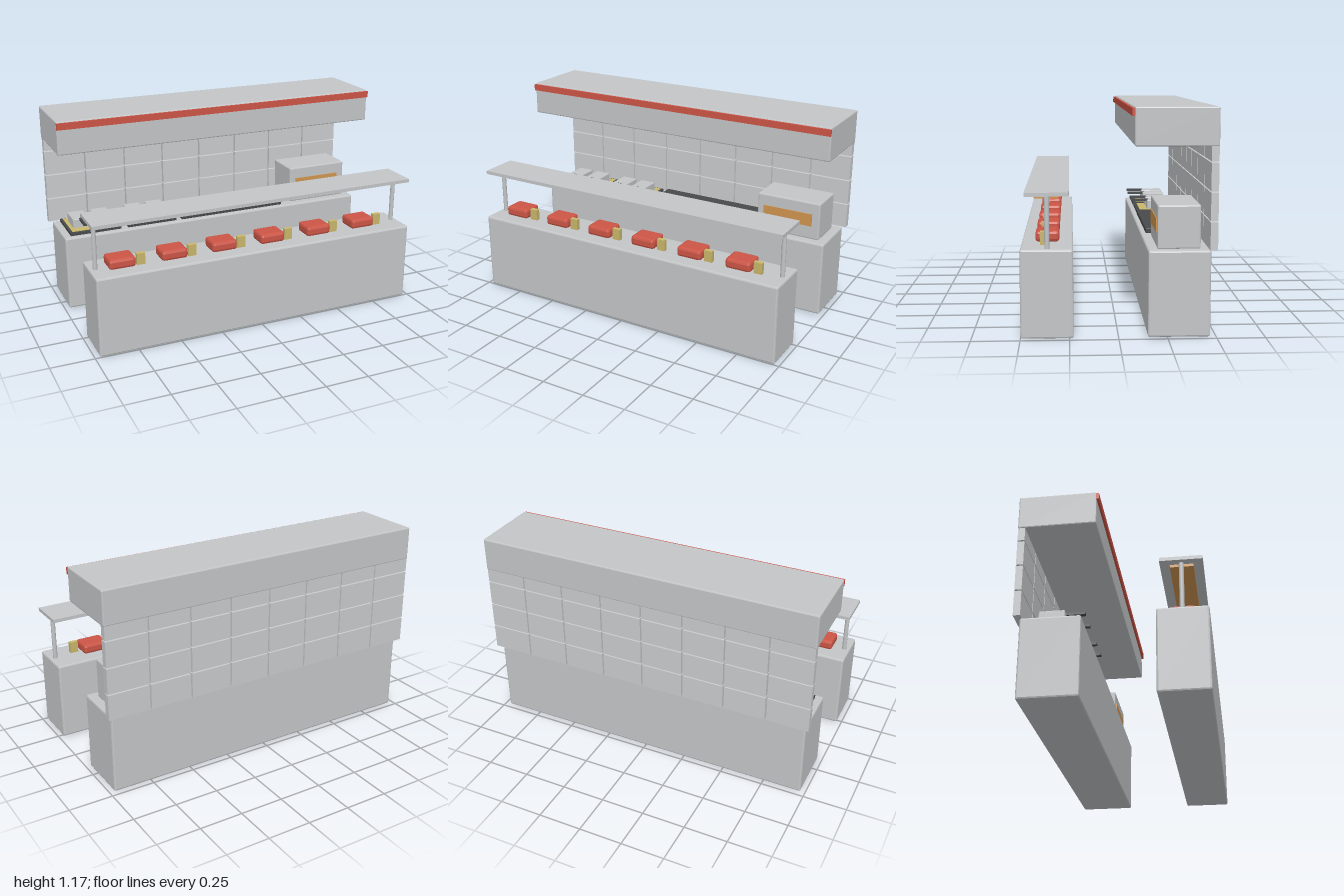
import * as THREE from 'three';
import { RoundedBoxGeometry } from 'three/addons/geometries/RoundedBoxGeometry.js';

const mat = (name, color) => {
  const m = new THREE.MeshStandardMaterial({ color });
  m.name = name;
  return m;
};

export function createModel() {
  const root = new THREE.Group();
  root.name = 'kitchenCounter';
  const steel = mat('steel', 0xc3c5c7);
  const tileGrey = mat('tileGrey', 0xc9cbcd);
  const red = mat('red', 0xcc5546);
  const straw = mat('straw', 0xc9b76c);
  const amber = mat('amber', 0xd09550);
  const dark = mat('darkIron', 0x48494b);

  const add = (name, geo, material, x = 0, y = 0, z = 0) => {
    const mesh = new THREE.Mesh(geo, material);
    mesh.name = name;
    mesh.position.set(x, y, z);
    root.add(mesh);
    return mesh;
  };
  // Box from its extents; a bevel gives faceted, chamfered edges
  const box = (name, material, [x0, x1], [y0, y1], [z0, z1], bevel = 0) => {
    const size = [x1 - x0, y1 - y0, z1 - z0];
    const geo = bevel ? new RoundedBoxGeometry(...size, 1, bevel) : new THREE.BoxGeometry(...size);
    if (bevel) geo.computeVertexNormals();
    return add(name, geo, material, (x0 + x1) / 2, (y0 + y1) / 2, (z0 + z1) / 2);
  };
  const around = (c, w) => [c - w / 2, c + w / 2];

  // Counters
  box('frontCounter', steel, [-0.972, 0.972], [0, 0.46], [0.23, 0.5], 0.01);
  box('backCounter', steel, [-0.972, 0.972], [0, 0.45], [-0.47, -0.15], 0.01);

  // Serving shelf with posts and warming strip
  box('servingShelf', steel, [-0.975, 0.975], [0.73, 0.75], [0.25, 0.475]);
  box('warmingStrip', amber, [-0.93, 0.93], [0.715, 0.73], [0.302, 0.426]);
  for (const s of [-1, 1]) {
    add('shelfPost', new THREE.CylinderGeometry(0.013, 0.013, 0.27, 12), steel, s * 0.938, 0.595, 0.362);
  }

  // Red packets and small cartons along the front counter
  for (let i = 0; i < 6; i++) {
    const x = -0.8 + i * 0.3;
    box('redPacket', red, around(x, 0.15), [0.463, 0.521], [0.301, 0.426], 0.015);
    box('carton', straw, around(x + 0.11, 0.048), [0.46, 0.526], [0.375, 0.401]);
  }

  // Tiled back wall
  for (let row = 0; row < 4; row++) {
    for (let col = 0; col < 8; col++) {
      box('wallTile', tileGrey, around(-0.875 + col * 0.25, 0.241),
        around(0.526 + row * 0.15, 0.143), [-0.4985, -0.46]);
    }
  }

  // Extractor hood
  box('hood', steel, [-1, 1], [0.98, 1.175], [-0.5, -0.078], 0.007);
  box('hoodStripe', red, [-1, 1], [1.13, 1.168], [-0.08, -0.065]);

  // Stove with four ring burners
  box('stoveTop', dark, [-0.23, 0.46], [0.448, 0.475], [-0.448, -0.177], 0.004);
  for (let i = 0; i < 4; i++) {
    const ring = add('burnerRing', new THREE.TorusGeometry(0.044, 0.008, 6, 20), dark,
      -0.11 + i * 0.15, 0.477, -0.312);
    ring.rotation.x = Math.PI / 2;
  }

  // Fryers: oil bath with two baskets each
  for (const cx of [-0.775, -0.42]) {
    box('fryerBody', dark, around(cx, 0.31), [0.448, 0.466], [-0.448, -0.18]);
    box('fryerOil', straw, around(cx, 0.28), [0.464, 0.47], [-0.435, -0.2]);
    for (const s of [-1, 1]) {
      const x = cx + s * 0.07;
      box('fryerBasket', steel, around(x, 0.1), [0.465, 0.525], [-0.39, -0.25], 0.005);
      box('basketHandle', dark, around(x, 0.024), [0.513, 0.527], [-0.26, -0.15]);
    }
  }

  // Oven with amber window
  box('oven', steel, [0.53, 0.922], [0.448, 0.675], [-0.422, -0.2], 0.008);
  box('ovenWindow', amber, [0.57, 0.875], [0.53, 0.605], [-0.203, -0.195]);

  return root;
}
